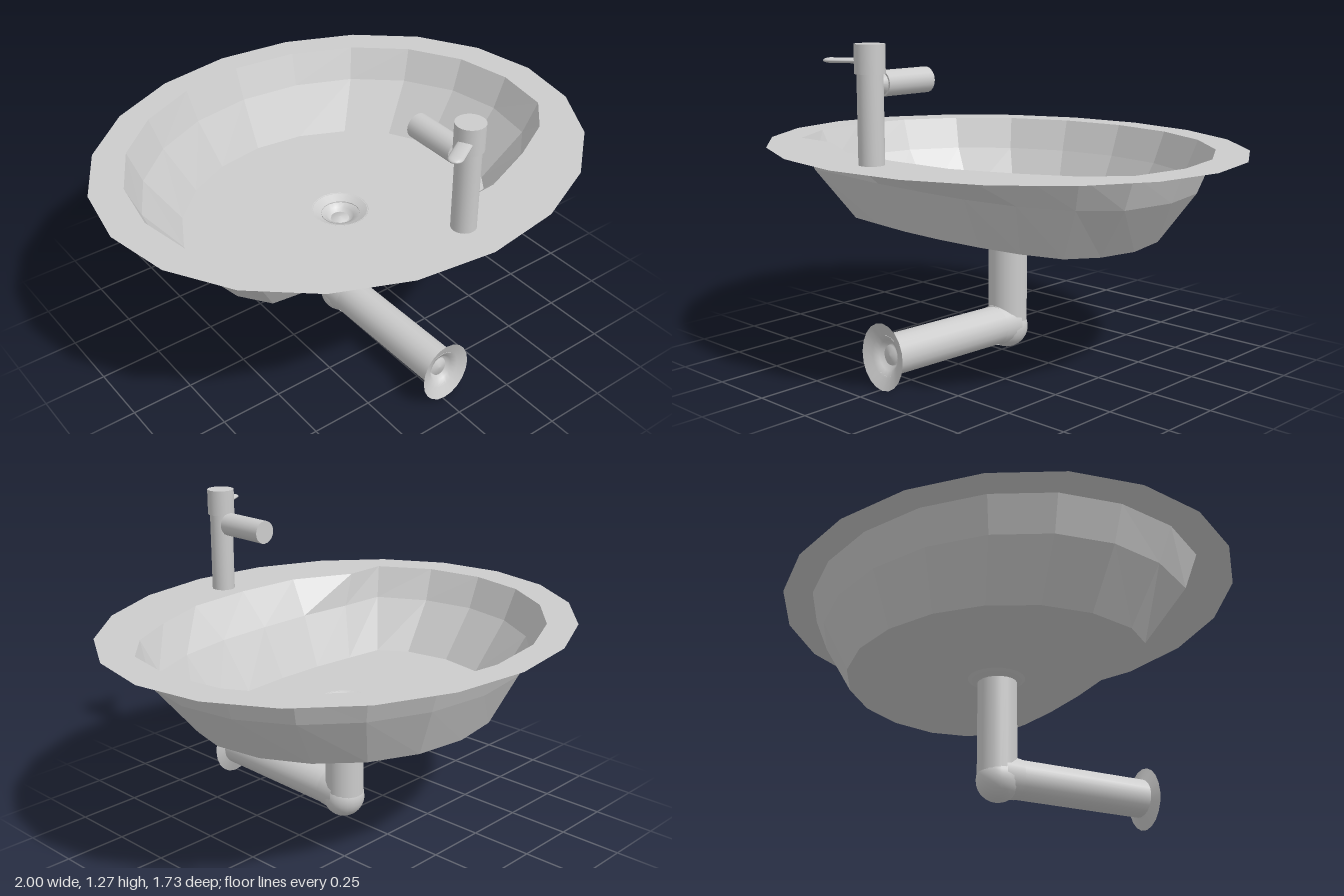
import * as THREE from 'three';

const SIDES = 20;
const material = new THREE.MeshStandardMaterial({ color: 0xcccccc, side: THREE.DoubleSide });
const faceted = new THREE.MeshStandardMaterial({ color: 0xcccccc, side: THREE.DoubleSide, flatShading: true });

function addMesh(parent, name, geometry, mat = material) {
  const mesh = new THREE.Mesh(geometry, mat);
  mesh.name = name;
  parent.add(mesh);
  return mesh;
}

// Ellipse in plan, starting at -z; tapSide replaces the points on the +z half
function ring(a, b, tapSide = []) {
  const points = [];
  for (let i = 0; i < SIDES; i++) {
    const t = (i / SIDES) * Math.PI * 2;
    points.push(new THREE.Vector2(a * Math.sin(t), -b * Math.cos(t)));
  }
  tapSide.forEach(([x, z], k) => points[6 + k].set(x, z));
  return points;
}

// Flat horizontal sheet with a hole
function sheet(outline, hole, y) {
  const shape = new THREE.Shape(outline);
  shape.holes.push(new THREE.Path(hole));
  return new THREE.ShapeGeometry(shape).rotateX(Math.PI / 2).translate(0, y, 0);
}

// Sheet wall joining rings at successive heights
function wall(rings, heights) {
  const positions = [], index = [];
  rings.forEach((points, r) => points.forEach(p => positions.push(p.x, heights[r], p.y)));
  for (let r = 0; r < rings.length - 1; r++) {
    for (let i = 0; i < SIDES; i++) {
      const j = (i + 1) % SIDES;
      const a = r * SIDES + i, b = r * SIDES + j;
      index.push(a, b, a + SIDES, b, b + SIDES, a + SIDES);
    }
  }
  const geometry = new THREE.BufferGeometry();
  geometry.setAttribute('position', new THREE.Float32BufferAttribute(positions, 3));
  geometry.setIndex(index);
  geometry.computeVertexNormals();
  return geometry;
}

// Round tube between two points
function pipe(parent, name, from, to, radius, endRadius = radius, open = false) {
  const start = new THREE.Vector3(...from), end = new THREE.Vector3(...to);
  const direction = end.clone().sub(start);
  const mesh = addMesh(parent, name,
    new THREE.CylinderGeometry(endRadius, radius, direction.length(), 20, 1, open));
  mesh.position.copy(start).add(end).multiplyScalar(0.5);
  mesh.quaternion.setFromUnitVectors(new THREE.Vector3(0, 1, 0), direction.normalize());
  return mesh;
}

// Shallow funnel with a recessed plug, opening towards +y
function funnel(radius) {
  const profile = [[0, -0.035], [0.036, -0.04], [0.04, -0.055], [0.055, -0.03], [0.08, -0.018], [radius, 0]];
  return new THREE.LatheGeometry(profile.map(p => new THREE.Vector2(...p)), 20);
}

function createBasin() {
  const basin = new THREE.Group();
  basin.name = 'basin';
  const top = ring(0.865, 0.75, [[0.825, 0.235], [0.7, 0.37], [0.51, 0.47], [0.275, 0.56], [0, 0.58],
    [-0.275, 0.56], [-0.52, 0.44], [-0.7, 0.44], [-0.825, 0.235]]);
  const middle = ring(0.81, 0.7, [[0.77, 0.215], [0.65, 0.33], [0.45, 0.41], [0.23, 0.445], [0, 0.45],
    [-0.23, 0.445], [-0.46, 0.42], [-0.66, 0.41], [-0.77, 0.215]]);
  const bottom = ring(0.655, 0.605, [[0.62, 0.15], [0.54, 0.26], [0.38, 0.31], [0.2, 0.335], [0, 0.345],
    [-0.2, 0.34], [-0.38, 0.32], [-0.54, 0.3], [-0.62, 0.187]]);
  const drainHole = ring(0.11, 0.11).map(p => new THREE.Vector2(p.x + 0.01, p.y - 0.025));

  addMesh(basin, 'rim', sheet(ring(1, 0.863), top, 0.85), faceted);
  addMesh(basin, 'bowlWall', wall([top, middle, bottom], [0.85, 0.72, 0.52]), faceted);
  addMesh(basin, 'bowlFloor', sheet(bottom, drainHole, 0.52), faceted);
  return basin;
}

function createDrain() {
  const drain = new THREE.Group();
  drain.name = 'drain';
  addMesh(drain, 'drainFunnel', funnel(0.115)).position.set(0.01, 0.521, -0.025);
  pipe(drain, 'downPipe', [0.01, 0.505, -0.022], [0.01, 0.11, -0.022], 0.078, 0.078, true);
  addMesh(drain, 'elbow', new THREE.SphereGeometry(0.085, 20, 14)).position.set(0.01, 0.105, -0.018);
  pipe(drain, 'elbowCollar', [0.01, 0.12, -0.02], [0.01, 0.122, 0.06], 0.085, 0.08, true);
  pipe(drain, 'wastePipe', [0.01, 0.12, 0], [0.01, 0.133, 0.63], 0.077, 0.077, true);
  // Oval plate where the pipe meets the wall
  const plate = addMesh(drain, 'wallPlate', funnel(0.12));
  plate.position.set(0.01, 0.133, 0.65);
  plate.rotation.x = Math.PI / 2 - 0.03;
  plate.scale.set(0.92, 1, 1.06);
  return drain;
}

function createTap() {
  const tap = new THREE.Group();
  tap.name = 'tap';
  const x = 0.015, z = 0.685;
  pipe(tap, 'tapBody', [x, 0.85, z], [x, 1.175, z], 0.047);
  pipe(tap, 'tapHead', [x, 1.17, z], [x, 1.273, z], 0.055);
  pipe(tap, 'spoutJoint', [x, 1.132, z - 0.02], [x, 1.132, z - 0.06], 0.02, 0.047);
  pipe(tap, 'spout', [x, 1.132, z - 0.05], [x, 1.132, 0.42], 0.047);
  // Flattened lever, pointing out to one side of the tap
  const lever = addMesh(tap, 'lever', new THREE.CapsuleGeometry(0.028, 0.1, 6, 14));
  lever.geometry.rotateZ(Math.PI / 2).scale(1, 0.35, 1);
  lever.position.set(-0.065, 1.214, 0.73);
  lever.rotation.y = 0.53;
  return tap;
}

export function createModel() {
  const model = new THREE.Group();
  model.name = 'washbasin';
  model.add(createBasin(), createDrain(), createTap());
  return model;
}
